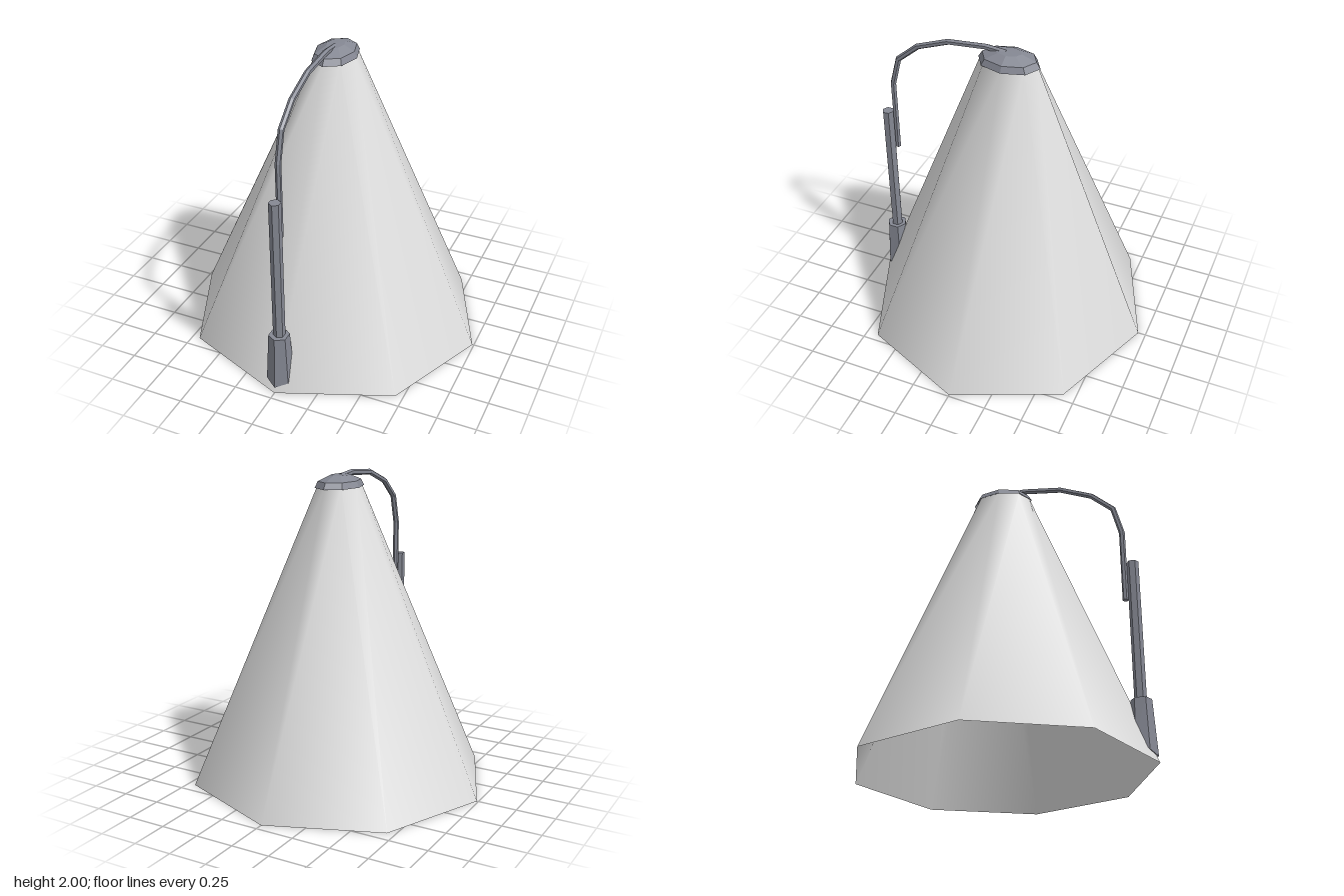
import * as THREE from 'three';

const shellMat = new THREE.MeshStandardMaterial({ color: 0xdedede, side: THREE.DoubleSide });
shellMat.name = 'pale grey';
const metalMat = new THREE.MeshStandardMaterial({ color: 0x858893, side: THREE.DoubleSide });
metalMat.name = 'slate metal';

// Flat-shaded copy of a geometry
function faceted(geo) {
  const g = geo.index ? geo.toNonIndexed() : geo;
  g.computeVertexNormals();
  return g;
}

// Joins rings of equal point count into a closed, flat-shaded solid
function loft(rings) {
  const n = rings[0].length, pos = [];
  const tri = (...pts) => pts.forEach((p) => pos.push(p.x, p.y, p.z));
  for (let i = 0; i < rings.length - 1; i++) {
    for (let j = 0; j < n; j++) {
      const k = (j + 1) % n, a = rings[i], b = rings[i + 1];
      tri(a[j], a[k], b[k]);
      tri(a[j], b[k], b[j]);
    }
  }
  const first = rings[0], last = rings[rings.length - 1];
  for (let j = 1; j < n - 1; j++) {
    tri(first[0], first[j + 1], first[j]);
    tri(last[0], last[j], last[j + 1]);
  }
  const g = new THREE.BufferGeometry();
  g.setAttribute('position', new THREE.Float32BufferAttribute(pos, 3));
  g.computeVertexNormals();
  return g;
}

// Six points around a centre; yOf may tilt the ring
function hexRing(r, place) {
  return Array.from({ length: 6 }, (_, i) => {
    const a = (i * Math.PI) / 3;
    return place(r * Math.sin(a), r * Math.cos(a));
  });
}

export function createModel() {
  const model = new THREE.Group();
  const add = (name, geo, mat) => {
    const mesh = new THREE.Mesh(geo, mat);
    mesh.name = name;
    model.add(mesh);
    return mesh;
  };

  // Hollow eight-sided cone, open underneath
  const shell = new THREE.CylinderGeometry(1, 1, 1.92, 8, 1, true);
  const p = shell.attributes.position;
  for (let i = 0; i < p.count; i++) {
    const top = p.getY(i) > 0;
    p.setXYZ(i, p.getX(i) * (top ? 0.122 : 0.99), top ? 1.92 : 0, p.getZ(i) * (top ? 0.185 : 0.95));
  }
  shell.computeVertexNormals();
  // Average the normals across the seam
  const nrm = shell.attributes.normal;
  for (const [a, b] of [[0, 8], [9, 17]]) {
    const v = new THREE.Vector3().fromBufferAttribute(nrm, a)
      .add(new THREE.Vector3().fromBufferAttribute(nrm, b)).normalize();
    nrm.setXYZ(a, v.x, v.y, v.z);
    nrm.setXYZ(b, v.x, v.y, v.z);
  }
  add('coneShell', shell, shellMat);

  // Faceted oval cap
  const capProfile = [[0.2, 1.91], [0.175, 1.95], [0.08, 1.983], [0, 1.985]]
    .map(([r, y]) => new THREE.Vector2(r, y));
  const cap = new THREE.LatheGeometry(capProfile, 8);
  cap.scale(0.69, 1, 1);
  add('topCap', faceted(cap), metalMat);

  // Upright post
  const post = new THREE.CylinderGeometry(0.038, 0.038, 1.1, 6);
  post.translate(0, 0.795, 0.857);
  add('post', faceted(post), metalMat);

  // Flared socket at the foot, its underside sloping down to the front
  const socketZ = 0.86;
  const socket = [
    hexRing(0.085, (x, z) => new THREE.Vector3(x, 0.09 - 0.6 * z, socketZ + z)),
    hexRing(0.066, (x, z) => new THREE.Vector3(x, 0.4, socketZ + z)),
  ];
  add('postSocket', loft(socket), metalMat);

  // Bent arm from the post to the cap, mitred at each bend
  const path = [[0.8, 1.08], [0.8, 1.57], [0.75, 1.76], [0.61, 1.88], [0.4, 1.96], [0.15, 1.983], [0.02, 1.972]]
    .map(([z, y]) => new THREE.Vector3(0, y, z));
  const armRings = path.map((c, i) => {
    const dir = path[Math.min(i + 1, path.length - 1)].clone()
      .sub(path[Math.max(i - 1, 0)]).normalize();
    const side = new THREE.Vector3(0, -dir.z, dir.y);
    return hexRing(0.019, (x, s) => c.clone().addScaledVector(side, s).setX(x));
  });
  add('bentArm', loft(armRings), metalMat);

  return model;
}
